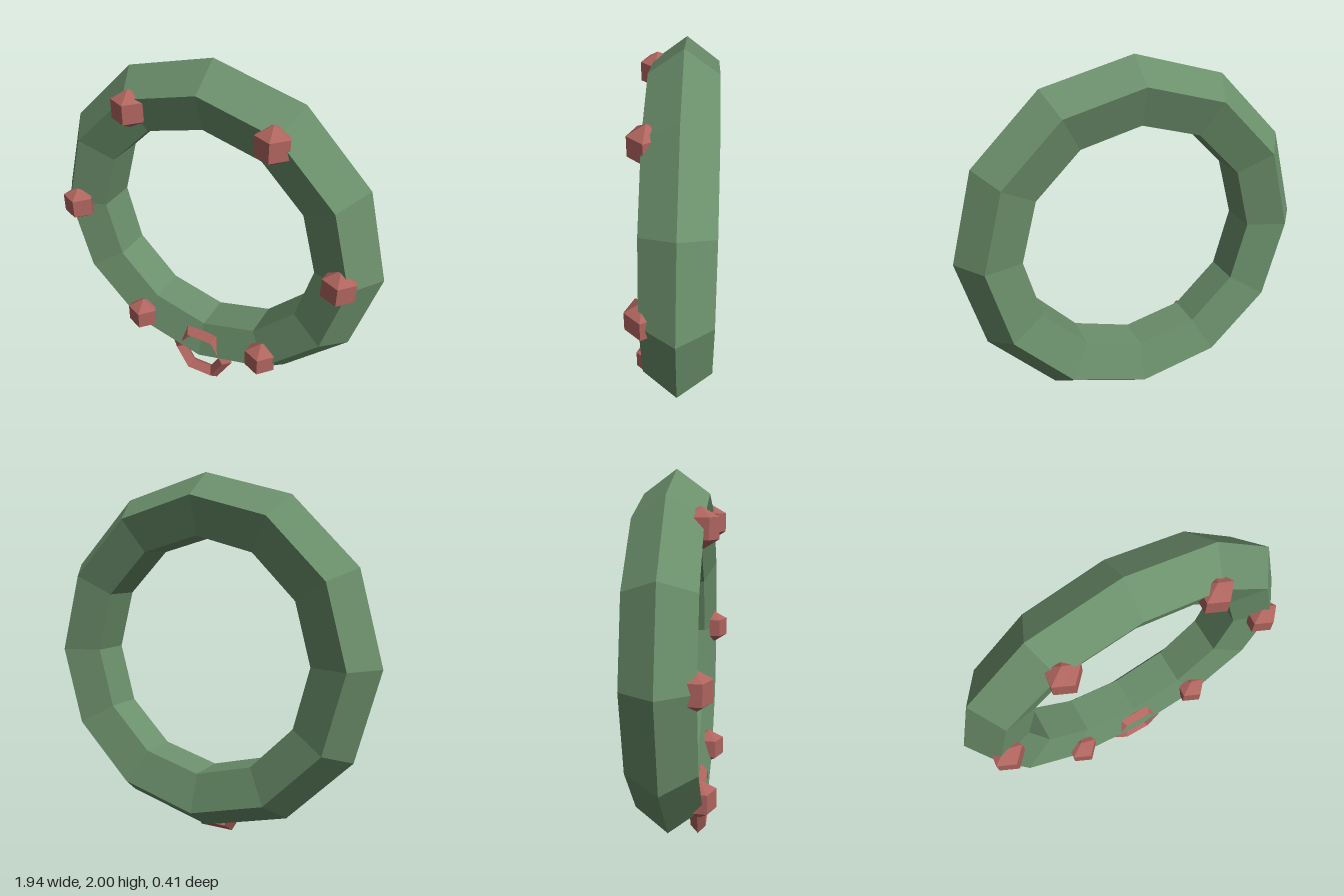
import * as THREE from 'three';

export function createModel() {
  const model = new THREE.Group();
  model.name = 'wreath';

  const leafGreen = new THREE.MeshStandardMaterial({ color: 0x6b8f6b, flatShading: true });
  leafGreen.name = 'leaf green';
  const berryRed = new THREE.MeshStandardMaterial({ color: 0xb0655f, flatShading: true });
  berryRed.name = 'berry red';

  const add = (name, geometry, material, x, y, z) => {
    const mesh = new THREE.Mesh(geometry, material);
    mesh.name = name;
    mesh.position.set(x, y, z);
    model.add(mesh);
    return mesh;
  };

  // Main ring: twelve segments with a five-sided section
  const centreY = 1.03;
  add('ring', new THREE.TorusGeometry(0.788, 0.182, 5, 12), leafGreen, 0, centreY, -0.035);

  // Six faceted berries spaced around the front, all turned the same way
  const berry = new THREE.SphereGeometry(0.104, 5, 3);
  for (let i = 0; i < 6; i++) {
    const a = (i * Math.PI) / 3;
    const mesh = add('berry' + (i + 1), berry, berryRed,
      0.79 * Math.cos(a), centreY + 0.79 * Math.sin(a), 0.118);
    mesh.rotation.y = Math.PI / 6;
  }

  // Small six-sided bow loop passing through the bottom of the ring
  add('bowLoop', new THREE.TorusGeometry(0.157, 0.043, 4, 6), berryRed, 0, 0.174, 0.09);

  return model;
}
